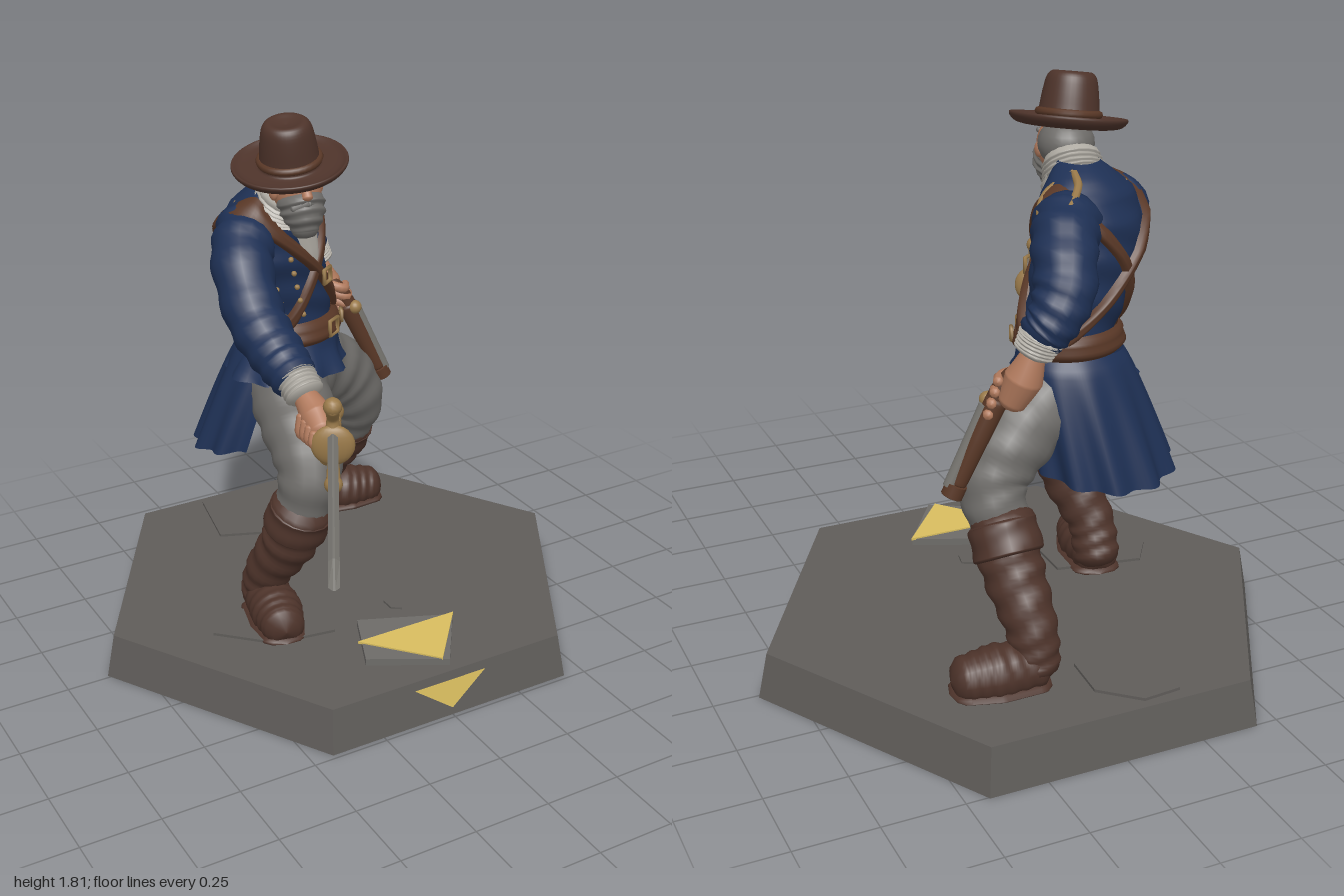
import * as THREE from 'three';

const V = (x, y, z) => new THREE.Vector3(x, y, z);
const mat = (name, color, side = THREE.FrontSide) => Object.assign(new THREE.MeshStandardMaterial({ color, side }), { name });

export function createModel() {
  const M = {
    stone: mat('stone', 0x5f5c59), navy: mat('navy cloth', 0x1e3054, THREE.DoubleSide),
    boot: mat('boot leather', 0x4d332a), strap: mat('strap leather', 0x583726, THREE.DoubleSide),
    grey: mat('grey wool', 0x6d6b68), skin: mat('skin', 0xb17a5d), brass: mat('brass', 0x9a7a4a),
    steel: mat('steel', 0x76746f), linen: mat('linen', 0xb0aca4, THREE.DoubleSide), gold: mat('yellow paint', 0xd8bd5f, THREE.DoubleSide),
  };
  const root = new THREE.Group();
  const add = (name, geo, m, parent = root) => {
    const mesh = new THREE.Mesh(geo, m);
    mesh.name = name;
    parent.add(mesh);
    return mesh;
  };

  // Surface from a grid of points; closed joins the last column to the first
  function grid(fn, rows, cols, closed) {
    const pos = [], idx = [], w = closed ? cols : cols + 1;
    for (let i = 0; i <= rows; i++) for (let j = 0; j < w; j++) pos.push(...fn(i / rows, j / cols, i).toArray());
    for (let i = 0; i < rows; i++) for (let j = 0; j < cols; j++) {
      const a = i * w + j, c = i * w + (j + 1) % w, b = a + w, d = c + w;
      idx.push(a, c, b, b, c, d);
    }
    const g = new THREE.BufferGeometry();
    g.setAttribute('position', new THREE.Float32BufferAttribute(pos, 3));
    g.setIndex(idx);
    g.computeVertexNormals();
    return g;
  }

  // Round-ended limb through [x, y, z, radius] points, with optional folds and a flat floor
  function limb(p, { fold = 0, freq = 34, floor = -1, sides = 18, rows = 34, cap = 0.6 } = {}) {
    const curve = new THREE.CatmullRomCurve3(p.map(q => V(q[0], q[1], q[2])));
    const rings = [];
    let n = V(0.31, 0.22, 0.9);
    for (let i = 0; i <= rows; i++) {
      const t = i / rows, f = t * (p.length - 1), k = Math.min(Math.floor(f), p.length - 2);
      const T = curve.getTangent(t);
      n = n.clone().addScaledVector(T, -n.dot(T)).normalize();
      rings.push({ c: curve.getPoint(t), T, n, b: T.clone().cross(n), r: THREE.MathUtils.lerp(p[k][3], p[k + 1][3], f - k), t });
    }
    const end = (q, s) => [0, 0.45, 0.8].map(a => ({ ...q, c: q.c.clone().addScaledVector(q.T, s * q.r * cap * Math.cos(a * Math.PI / 2)), r: q.r * Math.max(0.001, Math.sin(a * Math.PI / 2)) }));
    const all = [...end(rings[0], -1), ...rings, ...end(rings[rows], 1).reverse()];
    return grid((u, v, i) => {
      const q = all[i], a = v * Math.PI * 2;
      const r = q.r * (1 + fold * Math.sin(q.t * freq + 1.6 * Math.sin(a) + Math.cos(2 * a)));
      const o = q.c.clone().addScaledVector(q.n, r * Math.cos(a)).addScaledVector(q.b, r * Math.sin(a));
      o.y = Math.max(o.y, floor);
      return o;
    }, all.length - 1, sides, true);
  }
  const ball = (name, x, y, z, r, m, sx = 1, sy = 1, sz = 1) => {
    const b = add(name, new THREE.SphereGeometry(r, 20, 14), m);
    b.position.set(x, y, z);
    b.scale.set(sx, sy, sz);
    return b;
  };

  // Hexagonal base with painted arrows and loose slabs
  const hex = new THREE.CylinderGeometry(0.83, 0.86, 0.145, 6).rotateY(Math.PI / 6).toNonIndexed();
  hex.computeVertexNormals();
  add('base', hex, M.stone).position.set(0, 0.0725, -0.26);
  const poly = pts => new THREE.Shape(pts.map(q => new THREE.Vector2(...q)));
  const arrow = add('frontArrow', new THREE.ShapeGeometry(poly([[-0.13, 0.12], [0, 0.025], [0.13, 0.12]])), M.gold);
  arrow.rotation.x = -0.177;
  arrow.position.z = 0.488;
  const slab = (name, pts, y, h, m) => {
    const s = add(name, new THREE.ExtrudeGeometry(poly(pts.map(([x, z]) => [x, -z])), { depth: h, bevelEnabled: false }), m);
    s.rotation.x = -Math.PI / 2;
    s.position.y = y;
  };
  slab('arrowSlab', [[-0.12, 0.085], [-0.21, 0.3], [0.02, 0.43], [0.17, 0.21]], 0.14, 0.028, M.grey);
  slab('slabArrow', [[-0.185, 0.205], [0.0, 0.42], [0.175, 0.205]], 0.165, 0.008, M.gold);
  slab('rearSlab', [[-0.2, -0.94], [-0.25, -0.68], [-0.1, -0.62], [0.02, -0.7], [0.03, -0.85], [-0.08, -0.95]], 0.14, 0.014, M.stone);
  slab('sideSlab', [[-0.48, -0.2], [-0.55, -0.1], [-0.4, 0.05], [-0.2, 0.08], [-0.2, -0.15]], 0.14, 0.014, M.stone);
  slab('pebble', [[0.03, 0], [0.03, 0.05], [0.06, 0.07], [0.07, 0.02]], 0.14, 0.012, M.stone);

  // Trousers
  ball('hips', -0.12, 0.9, -0.36, 0.16, M.grey);
  add('rightThigh', limb([[-0.17, 0.9, -0.3, 0.135], [-0.2, 0.8, -0.14, 0.125], [-0.23, 0.69, -0.02, 0.102], [-0.26, 0.55, -0.03, 0.085]], { fold: 0.03 }), M.grey);
  add('leftThigh', limb([[-0.05, 0.9, -0.39, 0.135], [0.09, 0.81, -0.44, 0.125], [0.18, 0.68, -0.47, 0.105], [0.18, 0.55, -0.53, 0.085]], { fold: 0.03 }), M.grey);

  // Boots: shaft, turned cuff, foot and sole
  const boot = (side, top, mid, ankle, heel, ball_, toe) => {
    add(side + 'BootShaft', limb([[...top, 0.098], [...mid, 0.092], [...ankle, 0.075], [heel[0], 0.2, heel[2], 0.075]], { fold: 0.05, freq: 40, floor: 0.15 }), M.boot);
    const low = top.map((v, i) => v + (mid[i] - v) * 0.6);
    add(side + 'BootCuff', limb([[...top, 0.102], [...low, 0.106]], { fold: 0.02, freq: 9, cap: 0.15 }), M.boot);
    add(side + 'Foot', limb([[...heel, 0.072], [...ball_, 0.085], [...toe, 0.068]], { floor: 0.15, fold: 0.03 }), M.boot);
    add(side + 'Sole', limb([[heel[0], 0.15, heel[2], 0.08], [ball_[0], 0.15, ball_[2], 0.092], [toe[0], 0.15, toe[2], 0.074]], { floor: 0.146 }).scale(1, 0.28, 1).translate(0, 0.106, 0), M.boot);
  };
  boot('right', [-0.26, 0.57, -0.02], [-0.28, 0.44, -0.07], [-0.32, 0.3, -0.15], [-0.32, 0.2, -0.19], [-0.34, 0.195, -0.06], [-0.36, 0.19, 0.03]);
  boot('left', [0.18, 0.57, -0.53], [0.175, 0.44, -0.61], [0.16, 0.3, -0.7], [0.16, 0.2, -0.72], [0.28, 0.195, -0.71], [0.375, 0.19, -0.7]);

  // Torso: stacked ovals [x, y, z, half width, half depth], turned toward the model's left
  const yaw = 0.53, left = V(Math.cos(yaw), 0, -Math.sin(yaw)), fwd = V(Math.sin(yaw), 0, Math.cos(yaw));
  const ovals = [[-0.14, 0.93, -0.34, 0.205, 0.185], [-0.12, 1.0, -0.36, 0.175, 0.155], [-0.11, 1.08, -0.37, 0.15, 0.13], [-0.14, 1.2, -0.37, 0.162, 0.14],
    [-0.17, 1.33, -0.36, 0.185, 0.148], [-0.18, 1.42, -0.355, 0.19, 0.138], [-0.175, 1.49, -0.345, 0.165, 0.115], [-0.17, 1.54, -0.32, 0.11, 0.09], [-0.17, 1.57, -0.3, 0.06, 0.06]];
  const oval = (o, th, off = 0) => V(o[0], o[1], o[2]).addScaledVector(left, (o[3] + off) * Math.sin(th)).addScaledVector(fwd, (o[4] + off) * Math.cos(th));
  const onTorso = (th, y, off = 0) => {
    let k = 0;
    while (k < ovals.length - 2 && ovals[k + 1][1] < y) k++;
    const f = THREE.MathUtils.clamp((y - ovals[k][1]) / (ovals[k + 1][1] - ovals[k][1]), 0, 1);
    return oval(ovals[k].map((v, i) => v + (ovals[k + 1][i] - v) * f), th, off);
  };
  add('coatBody', grid((u, v) => {
    const th = v * Math.PI * 2, y = 0.93 + 0.64 * u;
    return onTorso(th, y, 0.004 * Math.sin(y * 55 + 2 * Math.sin(2 * th)) + 0.012 * Math.max(0, 1 - u * 7) * Math.sin(9 * th));
  }, 48, 48, true), M.navy);

  // Long pleated coat tail around the back
  add('coatTail', grid((u, v) => {
    const th = Math.PI * (1.64 - 1.28 * v), k = 1 - u, s = Math.sqrt(k);
    const y = 1.03 - 0.39 * k + 0.07 * k * Math.abs(Math.cos(th / 2 + 0)) ** 2;
    const o = [-0.115 - 0.085 * k, y, -0.37 - 0.06 * k, 0.155 + 0.08 * s, 0.14 + 0.065 * s];
    return oval(o, th, 0.014 * k * Math.sin(th * 11));
  }, 16, 70, false), M.navy);

  // Raised bands and panels lying on the torso
  const band = (name, edgeA, edgeB, m, off = 0.016, n = 64) => add(name, grid((u, v) => {
    const a = edgeA(v), b = edgeB(v);
    return onTorso(a[0] + (b[0] - a[0]) * u, a[1] + (b[1] - a[1]) * u, off * Math.min(1, 4 * Math.min(u, 1 - u) + 0.1));
  }, 8, n, false), m);
  const tilt = (s, h) => v => [v * Math.PI * 2, 1.28 + s * 0.22 * Math.sin(v * Math.PI * 2) + h];
  band('shirtFront', v => [-0.08 - 0.45 * v, 1.27 + 0.26 * v], v => [0.08 + 0.5 * v, 1.27 + 0.26 * v], M.linen, 0.012, 16);
  band('rightShoulderStrap', tilt(-1, -0.035), tilt(-1, 0.035), M.strap, 0.024);
  band('leftShoulderStrap', tilt(1, -0.03), tilt(1, 0.03), M.strap, 0.018);
  band('waistBelt', v => [v * Math.PI * 2, 1.03], v => [v * Math.PI * 2, 1.105], M.strap, 0.024);
  const fix = (mesh, th, y, off) => {
    mesh.position.copy(onTorso(th, y, off));
    mesh.lookAt(onTorso(th, y, off + 1));
  };
  for (const [th, y, s] of [[0.05, 1.07, 1.1], [0.12, 1.25, 1], [0.65, 1.07, 0.7]])
    fix(add('buckle', new THREE.TorusGeometry(0.032 * s, 0.007, 6, 4).rotateZ(Math.PI / 4), M.brass), th, y, 0.03);
  for (let i = 0; i < 5; i++) for (const th of [-0.55, -0.95])
    fix(add('button', new THREE.SphereGeometry(0.009, 8, 6), M.brass), th, 1.14 + i * 0.05, 0.012);
  add('epaulette', limb([[-0.12, 1.55, -0.36, 0.012], [-0.03, 1.5, -0.37, 0.012], [0.02, 1.46, -0.44, 0.012], [-0.01, 1.48, -0.52, 0.012], [-0.09, 1.53, -0.45, 0.012], [-0.12, 1.55, -0.37, 0.012]], { sides: 8 }), M.brass);
  add('rightShoulderTrim', limb([[-0.25, 1.53, -0.28, 0.01], [-0.31, 1.49, -0.26, 0.01], [-0.35, 1.45, -0.28, 0.01], [-0.3, 1.5, -0.34, 0.01]], { sides: 8 }), M.brass);

  // Arms with linen cuffs
  add('rightSleeve', limb([[-0.28, 1.42, -0.3, 0.1], [-0.35, 1.37, -0.21, 0.095], [-0.375, 1.22, -0.07, 0.09], [-0.36, 1.14, 0.04, 0.082], [-0.35, 1.1, 0.12, 0.072]], { fold: 0.05, freq: 44 }), M.navy);
  add('rightCuff', limb([[-0.35, 1.1, 0.13, 0.062], [-0.345, 1.065, 0.18, 0.058]], { fold: 0.06, cap: 0.3 }), M.linen);
  add('leftSleeve', limb([[-0.07, 1.43, -0.43, 0.1], [-0.01, 1.4, -0.53, 0.095], [0.04, 1.29, -0.63, 0.088], [0.09, 1.22, -0.655, 0.075], [0.115, 1.19, -0.65, 0.068]], { fold: 0.05, freq: 44 }), M.navy);
  add('leftCuff', limb([[0.12, 1.18, -0.65, 0.064], [0.14, 1.14, -0.645, 0.056]], { fold: 0.06, cap: 0.3 }), M.linen);

  // Hands
  add('rightHand', limb([[-0.345, 1.06, 0.18, 0.036], [-0.34, 1.02, 0.24, 0.05], [-0.345, 0.99, 0.29, 0.045]]), M.skin);
  add('leftHand', limb([[0.14, 1.13, -0.645, 0.036], [0.16, 1.06, -0.63, 0.056], [0.185, 0.99, -0.61, 0.042]]), M.skin);
  for (let i = 0; i < 4; i++) {
    const z = 0.225 + i * 0.026, y = 1.07 - i * 0.032;
    add('rightFinger', limb([[-0.38, 1.02 - i * 0.008, z, 0.016], [-0.385, 0.965, z + 0.005, 0.017], [-0.33, 0.945, z + 0.01, 0.015]], { sides: 8, rows: 8 }), M.skin);
    add('leftFinger', limb([[0.15 + i * 0.012, y, -0.585, 0.017], [0.2 + i * 0.012, y - 0.02, -0.565, 0.017], [0.225 + i * 0.01, y - 0.02, -0.6, 0.015]], { sides: 8, rows: 8 }), M.skin);
  }

  // Sword: local z runs along the blade
  const sword = new THREE.Group();
  sword.name = 'sword';
  sword.position.set(-0.34, 0.965, 0.34);
  sword.lookAt(-0.7, 0.925, 1.0);
  root.add(sword);
  const bladeShape = poly([[0, -0.036], [0.66, -0.027], [0.735, 0.0], [0.66, 0.03], [0, 0.036]]);
  add('blade', new THREE.ExtrudeGeometry(bladeShape, { depth: 0.006, bevelThickness: 0.012, bevelSize: 0.01, bevelSegments: 1 }).translate(0, 0, -0.003).rotateY(-Math.PI / 2), M.steel, sword);
  add('grip', limb([[0, 0, 0, 0.024], [0, 0.005, -0.17, 0.024]], { fold: 0.08, freq: 60 }), M.brass, sword);
  add('pommel', new THREE.SphereGeometry(0.034, 14, 10).translate(0, 0.01, -0.19), M.brass, sword);
  add('guardShell', new THREE.SphereGeometry(0.065, 20, 12).scale(1, 1, 0.4), M.brass, sword);
  add('crossGuard', limb([[0, 0.13, 0.025, 0.022], [0, 0.08, -0.01, 0.018], [0, 0, 0, 0.026], [0, -0.07, -0.01, 0.018], [0, -0.115, 0.02, 0.022]]), M.brass, sword);
  add('knuckleBow', limb([[0, -0.06, -0.01, 0.014], [-0.03, -0.09, -0.08, 0.012], [-0.02, -0.06, -0.15, 0.012], [0, 0, -0.19, 0.014]], { sides: 10 }), M.brass, sword);
  for (const y of [0.135, -0.12]) add('guardKnob', new THREE.SphereGeometry(0.028, 12, 8).translate(0, y, 0.02), M.brass, sword);

  // Pistol
  add('pistolGrip', limb([[0.14, 1.0, -0.6, 0.026], [0.17, 1.06, -0.59, 0.024], [0.2, 1.03, -0.58, 0.026], [0.235, 0.95, -0.57, 0.03]]), M.strap);
  add('pistolStock', limb([[0.22, 0.98, -0.575, 0.034], [0.27, 0.87, -0.565, 0.031], [0.325, 0.74, -0.55, 0.026]]), M.strap);
  add('pistolBarrel', limb([[0.245, 0.97, -0.565, 0.022], [0.35, 0.73, -0.545, 0.02]], { cap: 0.05 }), M.steel);
  add('muzzleRing', limb([[0.33, 0.735, -0.55, 0.032], [0.345, 0.7, -0.547, 0.032]], { cap: 0.05 }), M.strap);
  ball('pistolLock', 0.235, 0.98, -0.55, 0.024, M.brass);

  // Head, hair, beard and scarf
  add('scarf', limb([[-0.175, 1.5, -0.27, 0.1], [-0.18, 1.55, -0.23, 0.085]], { fold: 0.06 }), M.linen);
  ball('head', -0.185, 1.58, -0.155, 0.078, M.skin, 0.95, 1.15, 1.05);
  ball('hair', -0.18, 1.595, -0.195, 0.086, M.grey, 1, 0.85, 1);
  add('nose', limb([[-0.195, 1.605, -0.08, 0.012], [-0.198, 1.575, -0.062, 0.017]], { sides: 10 }), M.skin);
  add('beard', limb([[-0.187, 1.545, -0.125, 0.072], [-0.187, 1.505, -0.11, 0.066], [-0.187, 1.46, -0.1, 0.04]], { fold: 0.05, freq: 20 }), M.grey);
  for (const s of [-1, 1]) {
    add('moustache', limb([[-0.195, 1.555, -0.066, 0.014], [-0.192 + s * 0.045, 1.54, -0.082, 0.012]], { sides: 8 }), M.grey);
    add('eyebrow', limb([[-0.195 + s * 0.015, 1.612, -0.074, 0.009], [-0.19 + s * 0.05, 1.615, -0.088, 0.008]], { sides: 8 }), M.grey);
    ball('ear', -0.185 + s * 0.077, 1.575, -0.16, 0.02, M.skin, 0.6, 1.2, 1);
  }

  // Wide-brimmed hat
  const hat = new THREE.Group();
  hat.name = 'hat';
  hat.position.set(-0.203, 1.645, -0.16);
  hat.rotation.set(0.14, 0, 0.15);
  root.add(hat);
  const profile = [[0, -0.012], [0.1, -0.014], [0.155, -0.006], [0.176, 0.012], [0.174, 0.024], [0.15, 0.012], [0.1, 0.01], [0.092, 0.03], [0.084, 0.09], [0.074, 0.135], [0.056, 0.152], [0.03, 0.146], [0, 0.14]];
  add('hatBody', new THREE.LatheGeometry(new THREE.SplineCurve(profile.map(q => new THREE.Vector2(Math.max(0, q[0]), q[1]))).getPoints(48).map(q => q.setX(Math.max(0, q.x))), 40), M.boot, hat);
  add('hatBand', new THREE.TorusGeometry(0.09, 0.012, 8, 32).rotateX(Math.PI / 2).translate(0, 0.03, 0), M.strap, hat);
  return root;
}
